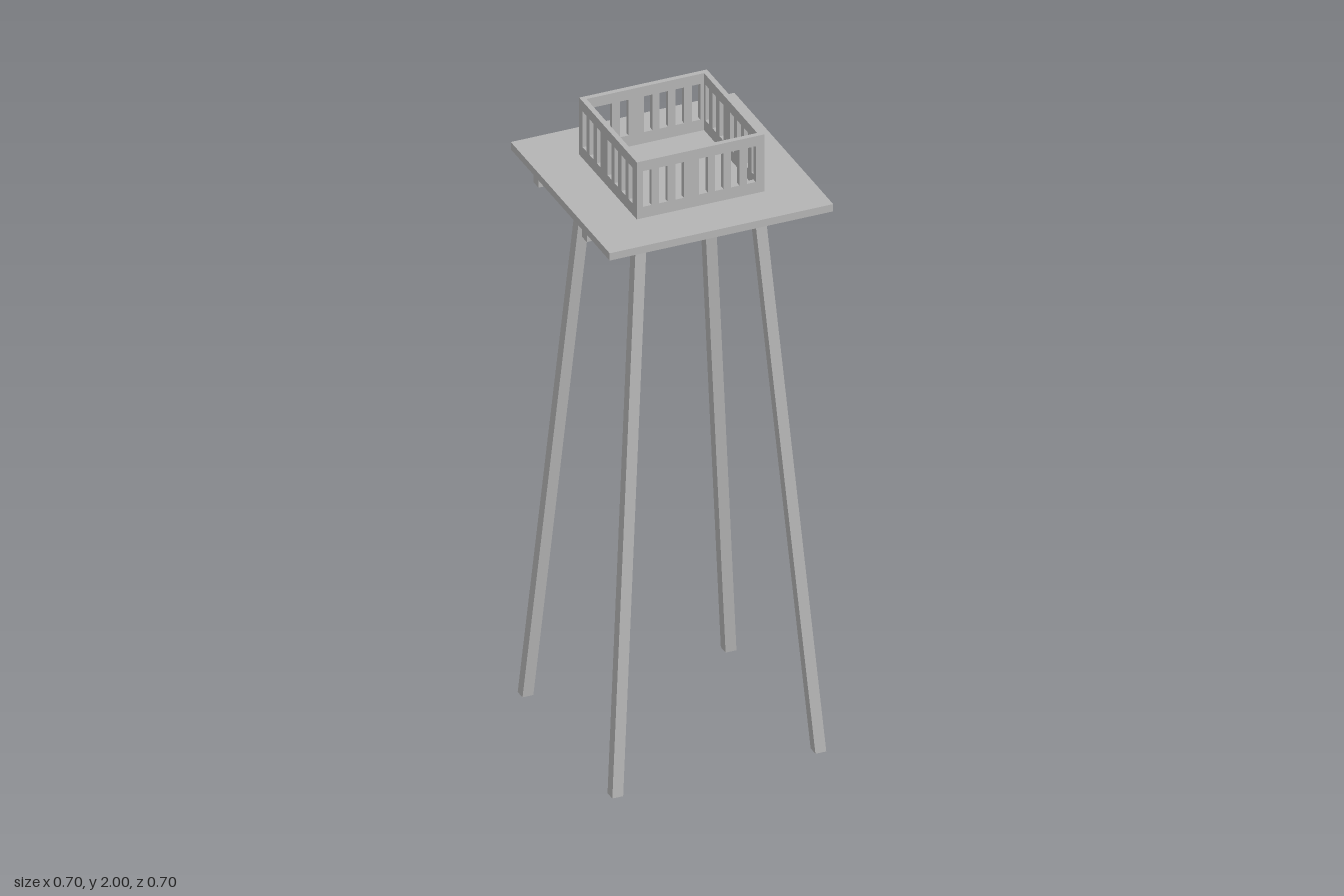
import * as THREE from 'three';

export function createModel() {
  const group = new THREE.Group();
  const grey = new THREE.MeshStandardMaterial({ color: 0xb4b4b4 });
  grey.name = 'plain grey';

  const add = (name, geometry, x = 0, y = 0, z = 0) => {
    const mesh = new THREE.Mesh(geometry, grey);
    mesh.name = name;
    mesh.position.set(x, y, z);
    group.add(mesh);
    return mesh;
  };
  const box = (name, w, h, d, x, y, z) => add(name, new THREE.BoxGeometry(w, h, d), x, y, z);

  const deckTop = 1.812, deckBottom = 1.788, frameTop = 1.764, frameBottom = 1.728;
  const legSize = 0.034, legTop = 0.184, legFoot = 0.318;

  // Four splayed legs: square section, flat cut at both ends
  for (const sx of [-1, 1]) {
    for (const sz of [-1, 1]) {
      const leg = new THREE.BoxGeometry(legSize, frameTop, legSize);
      leg.translate(0, frameTop / 2, 0);
      const p = leg.attributes.position;
      for (let i = 0; i < p.count; i++) {
        const offset = THREE.MathUtils.lerp(legFoot, legTop, p.getY(i) / frameTop);
        p.setX(i, p.getX(i) + sx * offset);
        p.setZ(i, p.getZ(i) + sz * offset);
      }
      leg.computeVertexNormals();
      add('leg', leg);
    }
  }

  // Square frame joining the leg tops, and joists carrying the deck
  const frameH = frameTop - frameBottom, frameY = (frameTop + frameBottom) / 2;
  for (const s of [-1, 1]) {
    box('frameCrossBeam', 0.334, frameH, legSize, 0, frameY, s * legTop);
    box('frameSideBeam', legSize, frameH, 0.334, s * legTop, frameY, 0);
    box('joist', 0.7, deckBottom - frameTop, 0.034, 0, (deckBottom + frameTop) / 2, s * 0.171);
  }
  box('deck', 0.7, deckTop - deckBottom, 0.7, 0, (deckTop + deckBottom) / 2, 0);

  // Roofless cabin walls with tall slot windows
  const wallH = 2 - deckTop, thick = 0.016;
  const slotBottom = 1.849 - deckTop, slotTop = 1.967 - deckTop;
  const slots = [-0.167, -0.117, -0.066, 0.009, 0.058, 0.108, 0.159];
  const wall = (from, to, door) => {
    const shape = new THREE.Shape();
    shape.moveTo(from, 0);
    if (door) {
      shape.lineTo(door[0], 0);
      shape.lineTo(door[0], slotTop);
      shape.lineTo(door[1], slotTop);
      shape.lineTo(door[1], 0);
    }
    shape.lineTo(to, 0);
    shape.lineTo(to, wallH);
    shape.lineTo(from, wallH);
    shape.closePath();
    for (const u of slots) {
      if (door && u < door[1]) continue;
      const a = u - 0.0135, b = u + 0.0135;
      const hole = new THREE.Path();
      hole.moveTo(a, slotBottom);
      hole.lineTo(a, slotTop);
      hole.lineTo(b, slotTop);
      hole.lineTo(b, slotBottom);
      hole.closePath();
      shape.holes.push(hole);
    }
    return new THREE.ExtrudeGeometry(shape, { depth: thick, bevelEnabled: false });
  };
  const front = 0.203, back = -0.205, half = 0.2;
  add('frontWall', wall(-half, half), 0, deckTop, front - thick);
  add('backWallWithDoorway', wall(-half, half, [-0.18, -0.104]), 0, deckTop, back);
  for (const x of [half, -half + thick]) {
    const side = wall(back + thick, front - thick).rotateY(-Math.PI / 2);
    add('sideWall', side, x, deckTop, 0);
  }

  return group;
}
